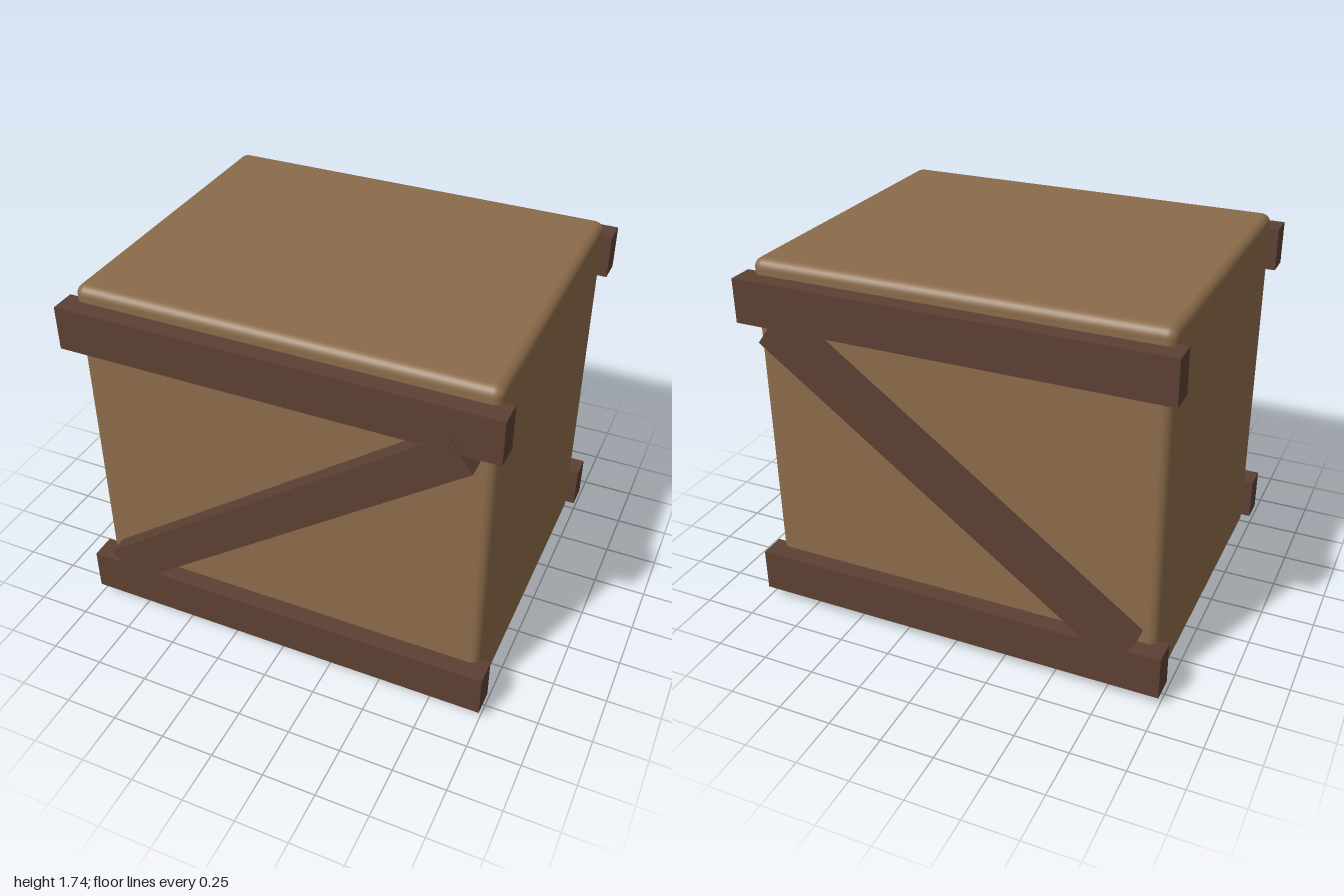
import * as THREE from 'three';
import { RoundedBoxGeometry } from 'three/addons/geometries/RoundedBoxGeometry.js';

export function createModel() {
  const crate = new THREE.Group();
  crate.name = 'crate';

  const wood = new THREE.MeshStandardMaterial({ color: 0x8b6b4a });
  wood.name = 'lightWood';
  const darkWood = new THREE.MeshStandardMaterial({ color: 0x5c4033 });
  darkWood.name = 'darkWood';

  const add = (name, geometry, material, x, y, z) => {
    const mesh = new THREE.Mesh(geometry, material);
    mesh.name = name;
    mesh.position.set(x, y, z);
    crate.add(mesh);
    return mesh;
  };

  // Soft-edged box body
  add('body', new RoundedBoxGeometry(1.91, 1.74, 1.53, 4, 0.045), wood, 0, 0.87, 0);

  const rail = new THREE.BoxGeometry(2, 0.206, 0.12);
  const brace = new THREE.BoxGeometry(2.065, 0.19, 0.12);

  for (const [side, s] of [['front', 1], ['back', -1]]) {
    // Horizontal rails
    add(side + 'LowerRail', rail, darkWood, 0, 0.158, s * 0.788);
    add(side + 'UpperRail', rail, darkWood, 0, 1.567, s * 0.788);
    // Diagonal brace, standing slightly proud of the rails; same slant on both sides
    add(side + 'Brace', brace, darkWood, 0, 0.859, s * 0.794).rotation.z = 0.63;
  }

  return crate;
}
